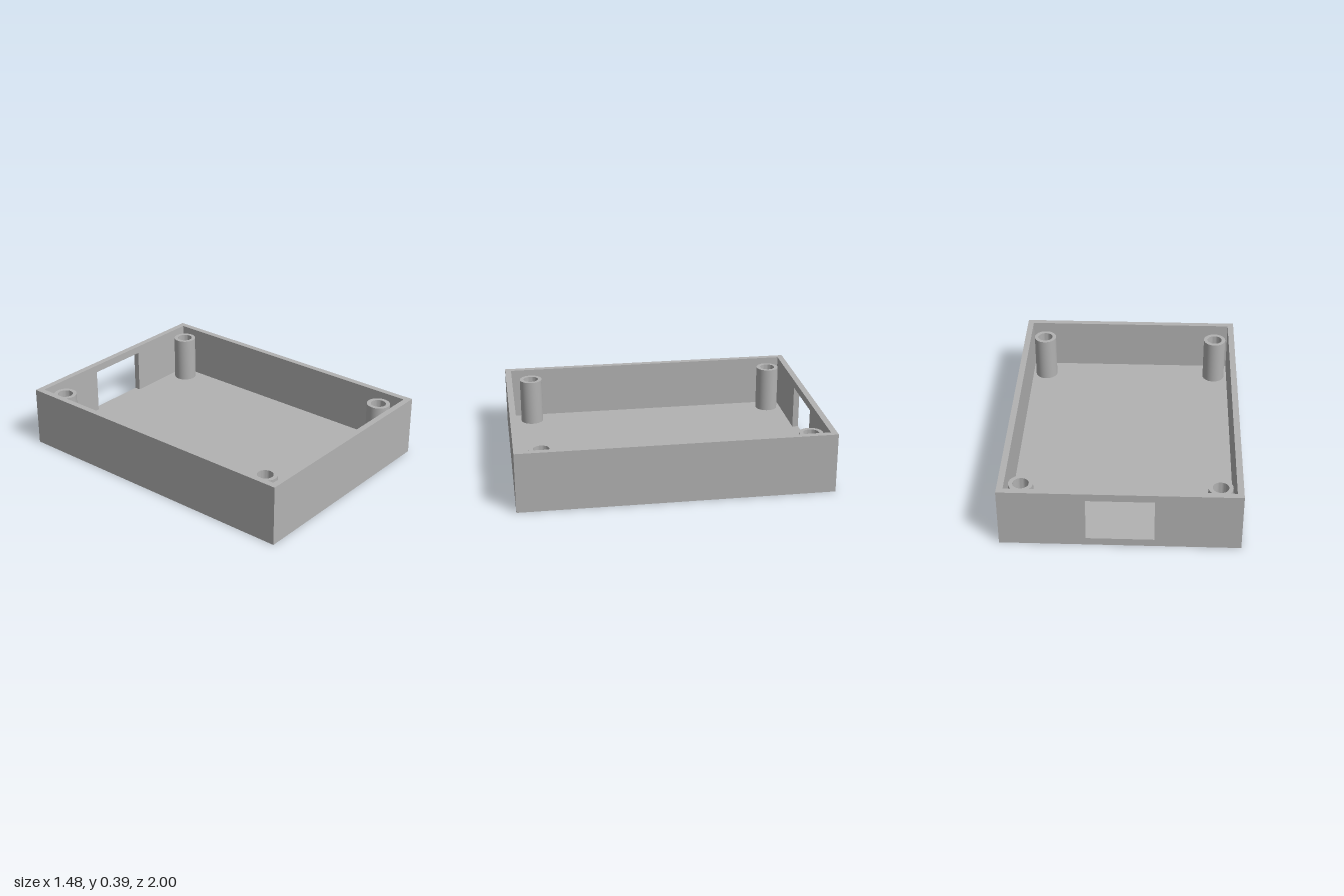
import * as THREE from 'three';
import { toCreasedNormals } from 'three/addons/utils/BufferGeometryUtils.js';

const W = 0.74, D = 1, H = 0.39;      // half width, half depth, full height
const WALL = 0.04, FLOOR = 0.05;
const POST_TOP = 0.355, POST_R = 0.076, HOLE_R = 0.05;
const POSTS = [-0.605, 0.605].flatMap(x => [-0.862, 0.828].map(z => [x, z]));

const circle = (Type, x, y, r) => new Type().absarc(x, y, r, 0, Math.PI * 2, false);
const polygon = pts => new THREE.Shape(pts.map(([x, y]) => new THREE.Vector2(x, y)));

function extrude(shape, depth) {
  const g = new THREE.ExtrudeGeometry(shape, { depth, bevelEnabled: false, curveSegments: 20 });
  return toCreasedNormals(g, 0.6);
}

// Extrudes a plan drawn in (x, -z) upward from y0 to y1
const extrudeUp = (shape, y0, y1) => extrude(shape, y1 - y0).rotateX(-Math.PI / 2).translate(0, y0, 0);

export function createModel() {
  const model = new THREE.Group();
  model.name = 'enclosureTray';
  const grey = new THREE.MeshStandardMaterial({ color: 0xb2b2b2 });
  grey.name = 'grey plastic';

  const add = (name, geometry) => {
    const mesh = new THREE.Mesh(geometry, grey);
    mesh.name = name;
    model.add(mesh);
    return mesh;
  };

  // Floor with four screw holes
  const floor = polygon([[-W, -D], [W, -D], [W, D], [-W, D]]);
  for (const [x, z] of POSTS) floor.holes.push(circle(THREE.Path, x, -z, HOLE_R));
  add('floor', extrudeUp(floor, 0, FLOOR));

  // Front and side walls in one U-shaped plan
  const iw = W - WALL, id = D - WALL;
  add('frontAndSideWalls', extrudeUp(polygon([
    [-W, -D], [W, -D], [W, id], [iw, id], [iw, -id], [-iw, -id], [-iw, id], [-W, id],
  ]), FLOOR, H));

  // Back wall with a connector opening that reaches down to the floor
  const ow = 0.21, oh = 0.34;
  add('backWall', extrude(polygon([
    [-W, FLOOR], [-ow, FLOOR], [-ow, oh], [ow, oh], [ow, FLOOR], [W, FLOOR], [W, H], [-W, H],
  ]), WALL).translate(0, 0, -D));

  // Hollow screw posts
  const ring = circle(THREE.Shape, 0, 0, POST_R);
  ring.holes.push(circle(THREE.Path, 0, 0, HOLE_R));
  const postGeometry = extrudeUp(ring, FLOOR, POST_TOP);
  for (const [x, z] of POSTS) add('screwPost', postGeometry).position.set(x, 0, z);

  return model;
}
